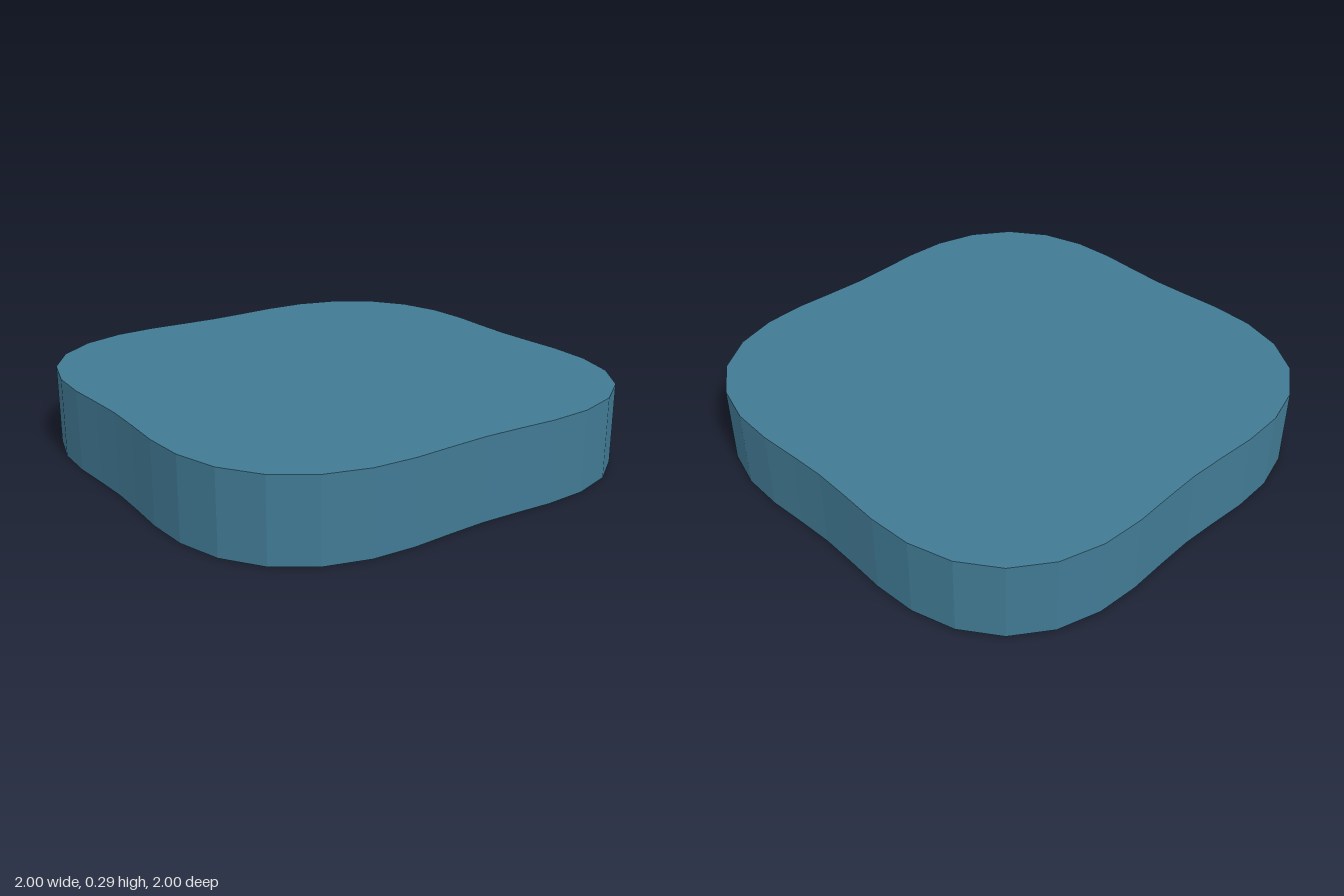
import * as THREE from 'three';

const SEGMENTS = 40;   // sides around the outline
const HEIGHT = 0.287;
const LOBE = 0.09;     // how far the four lobes swell from the mean radius

// Closed outline: a circle whose radius swells four times per turn
function lobedOutline() {
  const points = [];
  for (let i = 0; i < SEGMENTS; i++) {
    const a = (i / SEGMENTS) * Math.PI * 2;
    const r = (1 + LOBE * Math.cos(4 * a)) / (1 + LOBE);
    points.push(new THREE.Vector2(r * Math.cos(a), r * Math.sin(a)));
  }
  return new THREE.Shape(points);
}

export function createModel() {
  const group = new THREE.Group();
  group.name = 'lobedSlab';

  // Slab: outline extruded, then laid flat on the ground
  const geometry = new THREE.ExtrudeGeometry(lobedOutline(), { depth: HEIGHT, bevelEnabled: false });
  geometry.rotateX(-Math.PI / 2);

  const slab = new THREE.Mesh(
    geometry,
    new THREE.MeshStandardMaterial({ color: 0x417a94, flatShading: true })
  );
  slab.name = 'slab';
  group.add(slab);
  return group;
}
